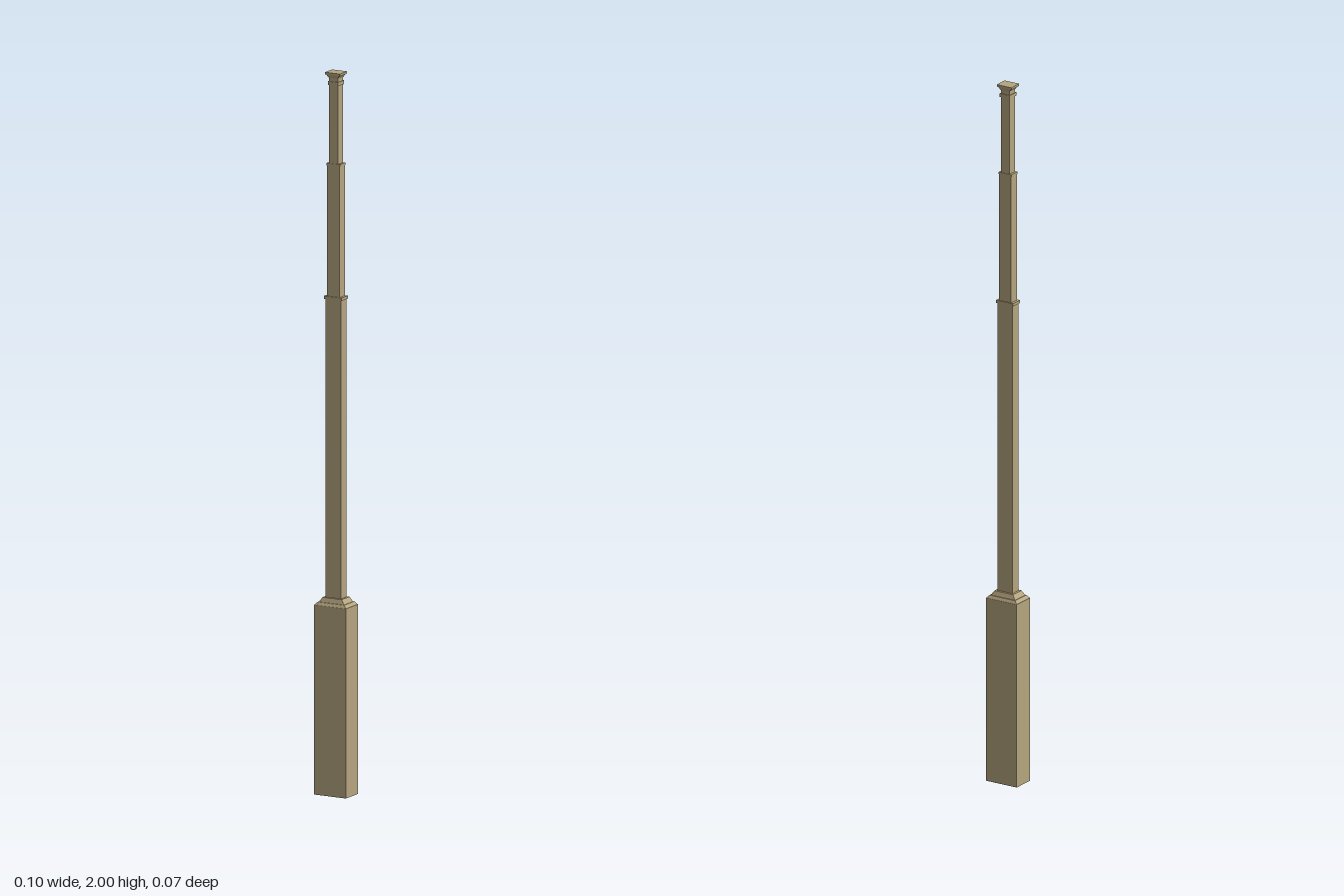
import * as THREE from 'three';

export function createModel() {
  const group = new THREE.Group();
  const stone = new THREE.MeshStandardMaterial({ color: 0xb5a57f });
  stone.name = 'sandstone';

  // Box from y0 to y1; the top face may be scaled to w1 x d1 for a taper
  function tier(name, y0, y1, w, d, w1 = w, d1 = d) {
    const geo = new THREE.BoxGeometry(w, y1 - y0, d);
    const p = geo.attributes.position;
    for (let i = 0; i < p.count; i++) {
      if (p.getY(i) > 0) {
        p.setX(i, p.getX(i) * w1 / w);
        p.setZ(i, p.getZ(i) * d1 / d);
      }
    }
    geo.computeVertexNormals();
    const mesh = new THREE.Mesh(geo, stone);
    mesh.name = name;
    mesh.position.y = (y0 + y1) / 2;
    group.add(mesh);
  }

  // Pedestal with a sloping shoulder
  tier('base', 0, 0.525, 0.1, 0.066);
  tier('shoulderLower', 0.525, 0.533, 0.098, 0.064, 0.083, 0.056);
  tier('shoulderUpper', 0.533, 0.546, 0.078, 0.05, 0.06, 0.042);

  // Three shaft stages, each narrower, with thin collars at the joints
  tier('lowerShaft', 0.546, 1.372, 0.048, 0.03);
  tier('lowerCollar', 1.372, 1.38, 0.055, 0.035);
  tier('middleShaft', 1.38, 1.742, 0.04, 0.029);
  tier('middleCollar', 1.742, 1.748, 0.042, 0.031);
  tier('upperShaft', 1.748, 1.993, 0.028, 0.028);

  // Layered cap
  tier('capRing', 1.965, 1.975, 0.032, 0.033);
  tier('capFlare', 1.985, 1.994, 0.029, 0.03, 0.04, 0.036);
  tier('capSlab', 1.994, 2, 0.047, 0.039);
  return group;
}
